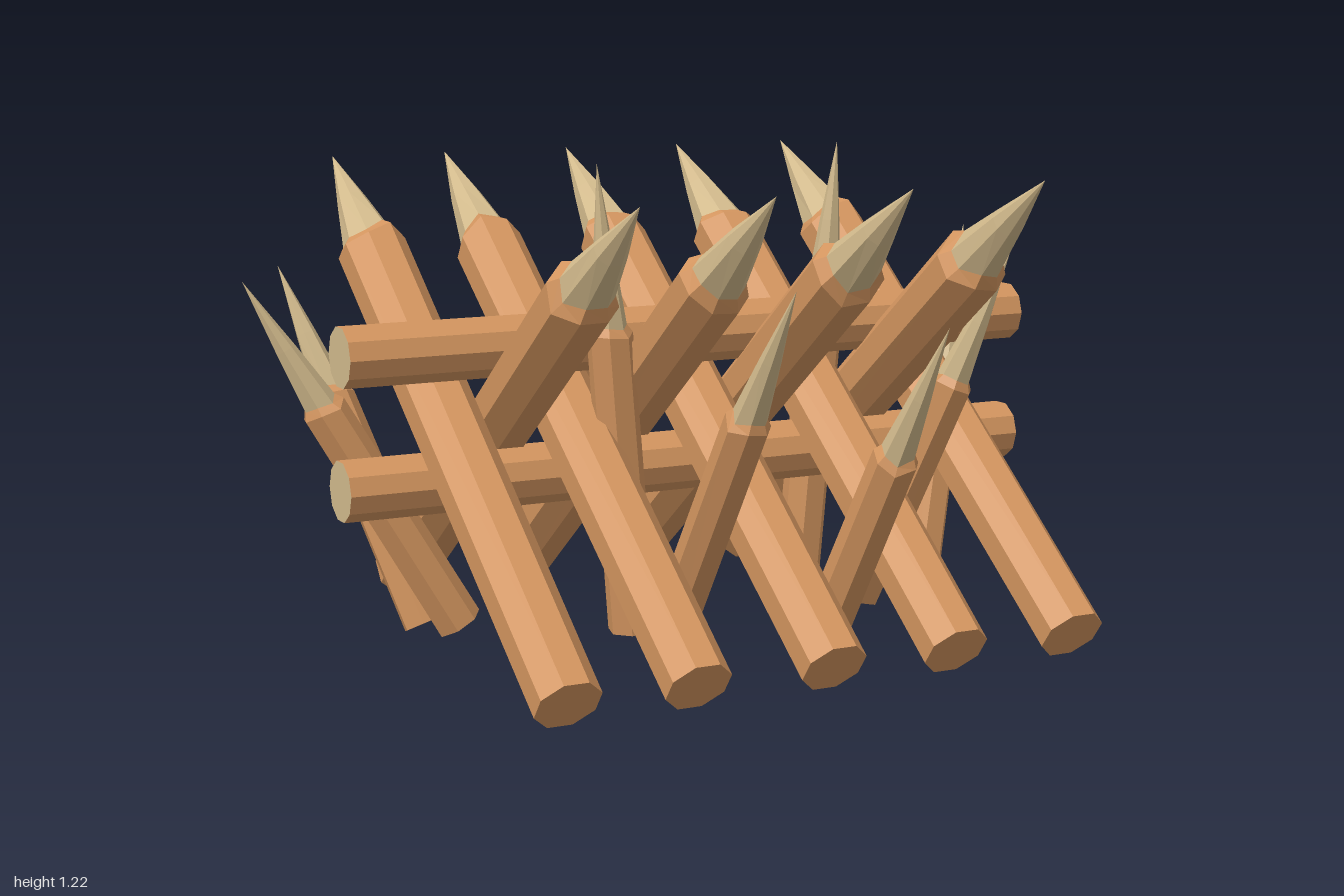
import * as THREE from 'three';

const UP = new THREE.Vector3(0, 1, 0);

export function createModel() {
  const model = new THREE.Group();
  model.name = 'spikedBarricade';
  const wood = new THREE.MeshStandardMaterial({ color: 0xd3955f, flatShading: true });
  wood.name = 'barkWood';
  const cut = new THREE.MeshStandardMaterial({ color: 0xd2ba8c, flatShading: true });
  cut.name = 'cutWood';

  // Faceted solid of revolution; the ring heights between lo and hi are made uneven
  function turned(profile, sides, seed, lo, hi, amount) {
    const points = profile.map(([r, y]) => new THREE.Vector2(r, y));
    const geo = new THREE.LatheGeometry(points, sides, Math.PI / sides);
    const p = geo.attributes.position;
    for (let i = 0; i < p.count; i++) {
      const y = p.getY(i);
      if (y < lo || y > hi) continue;
      const a = Math.atan2(p.getX(i), p.getZ(i));
      p.setY(i, y + amount * (Math.sin(2 * a + seed) + 0.6 * Math.sin(3 * a + seed * 2)));
    }
    geo.computeVertexNormals();
    return geo;
  }

  // Log with a carved point, running from its foot to its tip
  function stake(name, foot, tip, rFoot, rTop, tipLength, sides, seed) {
    const a = new THREE.Vector3(...foot);
    const dir = new THREE.Vector3(...tip).sub(a);
    const total = dir.length();
    const L = total - tipLength;
    const collar = L + rTop * 0.35;
    const lo = L - 0.01, hi = collar + 0.01, amount = rTop * 0.14;

    const group = new THREE.Group();
    group.name = name;
    const log = new THREE.Mesh(turned(
      [[0, 0], [rFoot, 0], [rTop, L], [rTop * 0.76, collar]], sides, seed, lo, hi, amount), wood);
    log.name = 'log';
    const point = new THREE.Mesh(turned(
      [[rTop * 0.76, collar], [rTop * 0.45, collar + (total - collar) * 0.45], [0, total]],
      sides, seed, lo, hi, amount), cut);
    point.name = 'carvedPoint';
    group.add(log, point);
    group.position.copy(a);
    group.quaternion.setFromUnitVectors(UP, dir.normalize());
    model.add(group);
  }

  // Large crossed stakes: five pointing to the back, four to the front
  [[-0.58, -0.70], [-0.26, -0.72], [0.09, -0.71], [0.42, -0.70], [0.75, -0.70]].forEach(([x, z], i) =>
    stake('backStake', [x, 0.1, 0.74], [x, 1.195, z], 0.08, 0.087, 0.36, 8, i * 1.7));
  [[-0.42, 0.77], [-0.08, 0.755], [0.25, 0.79], [0.59, 0.81]].forEach(([x, z], i) =>
    stake('frontStake', [x, 0.095, -0.64], [x, 1.18 + i * 0.007, z], 0.083, 0.089, 0.36, 8, i * 2.3 + 1));

  // Small loose stakes: foot, tip, length of the point
  [
    [[0.26, 0.045, 0.38], [0.31, 0.885, 0.855], 0.38],
    [[-0.04, 0.09, 0.19], [-0.03, 0.977, 0.76], 0.39],
    [[0.55, 0.08, 0.08], [0.76, 0.99, 0.43], 0.37],
    [[-0.13, 0.08, 0.14], [-0.25, 1.225, 0.2], 0.41],
    [[0.49, 0.08, -0.13], [0.55, 1.24, -0.05], 0.39],
    [[0.79, 0.03, -0.02], [0.99, 1.0, -0.125], 0.39],
    [[-0.54, 0.065, -0.19], [-0.79, 0.938, -0.535], 0.36],
    [[0.1, 0.1, -0.25], [0.01, 0.93, -0.85], 0.37],
    [[-0.49, 0.08, -0.1], [-0.99, 0.945, -0.2], 0.37],
  ].forEach(([foot, tip, len], i) =>
    stake('smallStake', foot, tip, 0.06, 0.057, len, 7, i * 1.3));

  // Two cross beams with bare cut ends
  [[0.79, 0.07], [0.472, 0.058]].forEach(([y, z]) => {
    const geo = new THREE.CylinderGeometry(0.074, 0.074, 1.845, 10);
    const beam = new THREE.Mesh(geo, [wood, cut, cut]);
    beam.name = 'crossBeam';
    beam.rotation.z = Math.PI / 2;
    beam.position.set(0.075, y, z);
    model.add(beam);
  });

  return model;
}
